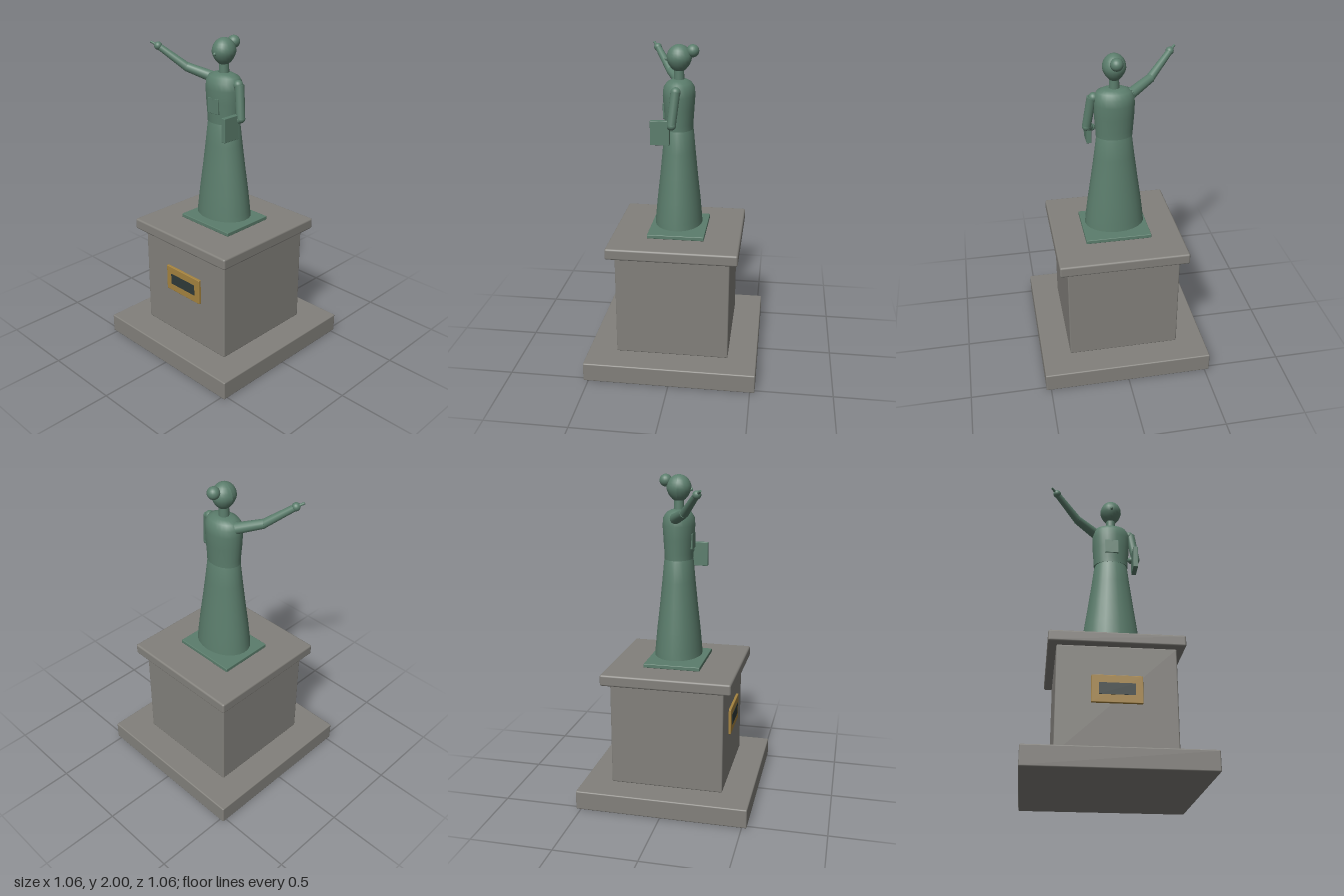
import * as THREE from 'three';
import { RoundedBoxGeometry } from 'three/addons/geometries/RoundedBoxGeometry.js';
import { toCreasedNormals } from 'three/addons/utils/BufferGeometryUtils.js';

export function createModel() {
  const model = new THREE.Group();
  model.name = 'statueOnPedestal';
  const paint = (color) => new THREE.MeshStandardMaterial({ color });
  const stone = paint(0x82807b);
  const bronze = paint(0x5b7d6c);
  const brass = paint(0xa5833f);
  const dark = paint(0x2f3a38);

  const add = (name, geometry, material, x = 0, y = 0, z = 0) => {
    const mesh = new THREE.Mesh(geometry, material);
    mesh.name = name;
    mesh.position.set(x, y, z);
    model.add(mesh);
    return mesh;
  };

  // Box given by its size and the height of its underside
  const slab = (name, w, h, d, y, material, r = 0.008, x = 0, z = 0) =>
    add(name, new RoundedBoxGeometry(w, h, d, 2, r), material, x, y + h / 2, z);

  // Oval body from [y, half width, half depth] rings, closed at both ends
  const ovalBody = (name, rings, segments = 24) => {
    const pts = [[rings[0][0], 0, 0], ...rings, [rings.at(-1)[0], 0, 0]];
    const geo = new THREE.LatheGeometry(pts.map(([y, w]) => new THREE.Vector2(w, y)), segments);
    const p = geo.attributes.position;
    for (let i = 0; i < p.count; i++) {
      const [, w, d] = pts[i % pts.length];
      if (w > 0) p.setZ(i, p.getZ(i) * d / w);
    }
    geo.computeVertexNormals();
    return add(name, toCreasedNormals(geo, 0.8), bronze);
  };

  const ball = (name, x, y, z, rx, ry = rx, rz = rx) =>
    add(name, new THREE.SphereGeometry(1, 20, 14).scale(rx, ry, rz), bronze, x, y, z);

  // Tapered limb between two points
  const limb = (name, from, to, r0, r1) => {
    const a = new THREE.Vector3(...from);
    const b = new THREE.Vector3(...to);
    const mesh = add(name, new THREE.CylinderGeometry(r1, r0, a.distanceTo(b), 16), bronze);
    mesh.position.copy(a).lerp(b, 0.5);
    mesh.quaternion.setFromUnitVectors(new THREE.Vector3(0, 1, 0), b.sub(a).normalize());
    return mesh;
  };

  // Pedestal
  slab('baseSlab', 1.06, 0.12, 1.06, 0, stone);
  slab('pedestalShaft', 0.7, 0.65, 0.7, 0.12, stone);
  slab('pedestalCap', 0.8, 0.07, 0.8, 0.77, stone, 0.012);
  slab('plaqueFrame', 0.295, 0.165, 0.025, 0.422, brass, 0.004, 0, 0.353);
  add('plaquePanel', new THREE.BoxGeometry(0.21, 0.07, 0.006), dark, 0, 0.505, 0.365);
  slab('statueFoot', 0.41, 0.025, 0.352, 0.84, bronze, 0.004, 0, -0.002);

  // Shoes
  for (const side of [-1, 1]) {
    ball(side < 0 ? 'rightShoe' : 'leftShoe', side * 0.062, 0.888, 0.03, 0.038, 0.026, 0.085);
  }

  // Long skirt
  ovalBody('skirt', [
    [0.89, 0.187, 0.148], [0.93, 0.183, 0.145], [1.05, 0.168, 0.134],
    [1.2, 0.146, 0.117], [1.36, 0.124, 0.101], [1.48, 0.109, 0.09], [1.53, 0.09, 0.075],
  ]);

  // Blouse with rounded shoulders
  ovalBody('torso', [
    [1.495, 0.112, 0.086], [1.53, 0.113, 0.087], [1.62, 0.12, 0.093], [1.7, 0.123, 0.098],
    [1.745, 0.12, 0.094], [1.775, 0.104, 0.075], [1.79, 0.07, 0.05], [1.795, 0.03, 0.03],
  ]);
  slab('frontPanel', 0.086, 0.095, 0.02, 1.558, bronze, 0.003, 0, 0.084);

  // Head narrowing to the chin
  limb('neck', [0, 1.77, 0], [0, 1.87, 0], 0.032, 0.029);
  const head = ball('head', 0, 1.918, 0, 0.07, 0.082, 0.076);
  const hp = head.geometry.attributes.position;
  for (let i = 0; i < hp.count; i++) {
    const drop = Math.max(0, -hp.getY(i)) / 0.082;
    hp.setX(i, hp.getX(i) * (1 - 0.2 * drop));
    hp.setZ(i, hp.getZ(i) * (1 - 0.2 * drop));
  }
  head.geometry.computeVertexNormals();
  ball('nose', 0, 1.912, 0.075, 0.009, 0.011, 0.012);
  ball('hairBun', 0, 1.963, -0.081, 0.038);

  // Raised right arm, pointing
  ball('rightShoulder', -0.1, 1.75, 0.005, 0.034);
  limb('rightUpperArm', [-0.1, 1.748, 0], [-0.235, 1.8, 0.085], 0.034, 0.028);
  limb('rightForearm', [-0.225, 1.794, 0.08], [-0.368, 1.917, 0.182], 0.027, 0.02);
  ball('rightHand', -0.371, 1.921, 0.186, 0.025);
  limb('pointingFinger', [-0.375, 1.924, 0.189], [-0.407, 1.946, 0.214], 0.009, 0.007);

  // Lowered left arm holding a book
  limb('leftUpperArm', [0.132, 1.742, 0.005], [0.162, 1.55, 0.025], 0.029, 0.027);
  ball('leftShoulder', 0.122, 1.74, 0.005, 0.03);
  ball('leftElbow', 0.163, 1.548, 0.023, 0.026);
  limb('leftForearm', [0.163, 1.546, 0.02], [0.13, 1.532, 0.05], 0.025, 0.02);
  ball('leftHand', 0.128, 1.53, 0.048, 0.022);
  slab('book', 0.03, 0.148, 0.116, 1.426, bronze, 0.003, 0.146, 0.096);

  return model;
}
